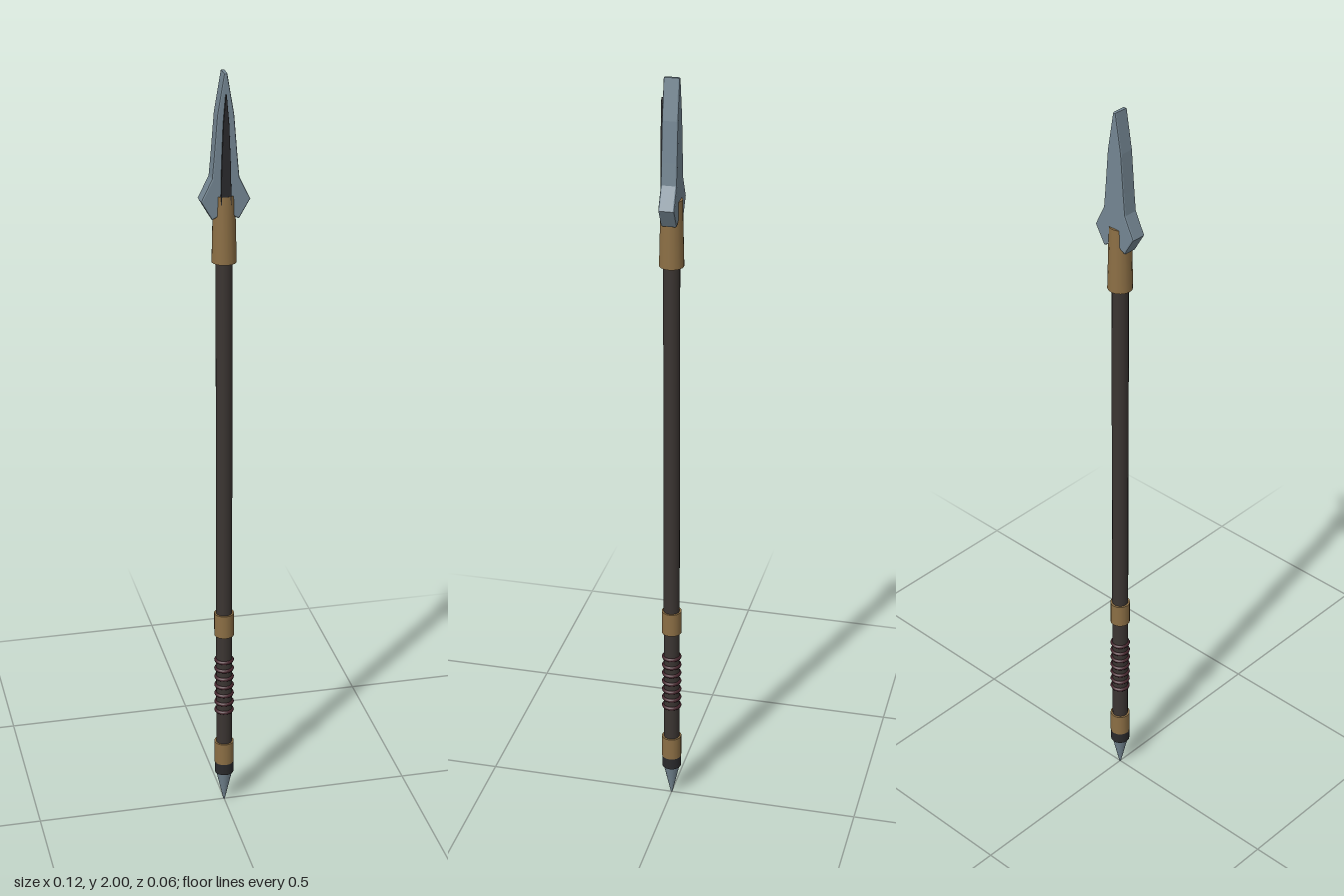
import * as THREE from 'three';

const mat = (color) => new THREE.MeshStandardMaterial({ color });
const steel = mat(0x748692), bronze = mat(0x8c6f45), wood = mat(0x3b3532);
const dark = mat(0x2a2a2c), wrap = mat(0x43242b);

export function createModel() {
  const model = new THREE.Group();

  const add = (name, geometry, material) => {
    const mesh = new THREE.Mesh(geometry, material);
    mesh.name = name;
    model.add(mesh);
    return mesh;
  };

  // Upright round part between two heights
  const round = (name, y0, y1, r0, r1, material, sides = 16) => {
    const mesh = add(name, new THREE.CylinderGeometry(r1, r0, y1 - y0, sides), material);
    mesh.position.y = (y0 + y1) / 2;
    return mesh;
  };

  // Symmetric outline from right-hand points, extruded with a small bevel
  const plate = (name, points, z0, z1, bevel, material) => {
    const left = points.filter(([x]) => x > 0).reverse().map(([x, y]) => [-x, y]);
    const shape = new THREE.Shape([...points, ...left].map(([x, y]) => new THREE.Vector2(x, y)));
    const geometry = new THREE.ExtrudeGeometry(shape, {
      depth: z1 - z0 - 2 * bevel, bevelEnabled: true, bevelThickness: bevel,
      bevelSize: bevel, bevelOffset: -bevel, bevelSegments: 2,
    });
    geometry.translate(0, 0, z0 + bevel);
    return add(name, geometry, material);
  };

  // Shaft and end fittings
  round('shaft', 0.09, 1.6, 0.021, 0.021, wood);
  round('buttSpike', 0, 0.09, 0.002, 0.022, steel);
  round('buttCollar', 0.088, 0.125, 0.025, 0.025, dark);
  round('lowerBand', 0.12, 0.182, 0.026, 0.026, bronze);
  round('upperBand', 0.503, 0.567, 0.026, 0.026, bronze);
  round('socket', 1.53, 1.7, 0.031, 0.027, bronze);

  // Grip wrapping
  for (let i = 0; i < 7; i++) {
    const ring = add('gripRing', new THREE.TorusGeometry(0.021, 0.005, 8, 20), wrap);
    ring.rotation.x = Math.PI / 2;
    ring.position.y = 0.278 + i * 0.025;
  }

  // Spearhead with two barbs, and the dark ridge on its front face
  plate('blade', [
    [0, 1.66], [0.033, 1.642], [0.061, 1.69], [0.034, 1.745],
    [0.029, 1.8], [0.021, 1.9], [0.004, 2.0],
  ], -0.021, 0.019, 0.004, steel);
  plate('bladeRidge', [
    [0.013, 1.68], [0.011, 1.78], [0.007, 1.88], [0.001, 1.95],
  ], 0.01, 0.025, 0.0008, dark);

  return model;
}
